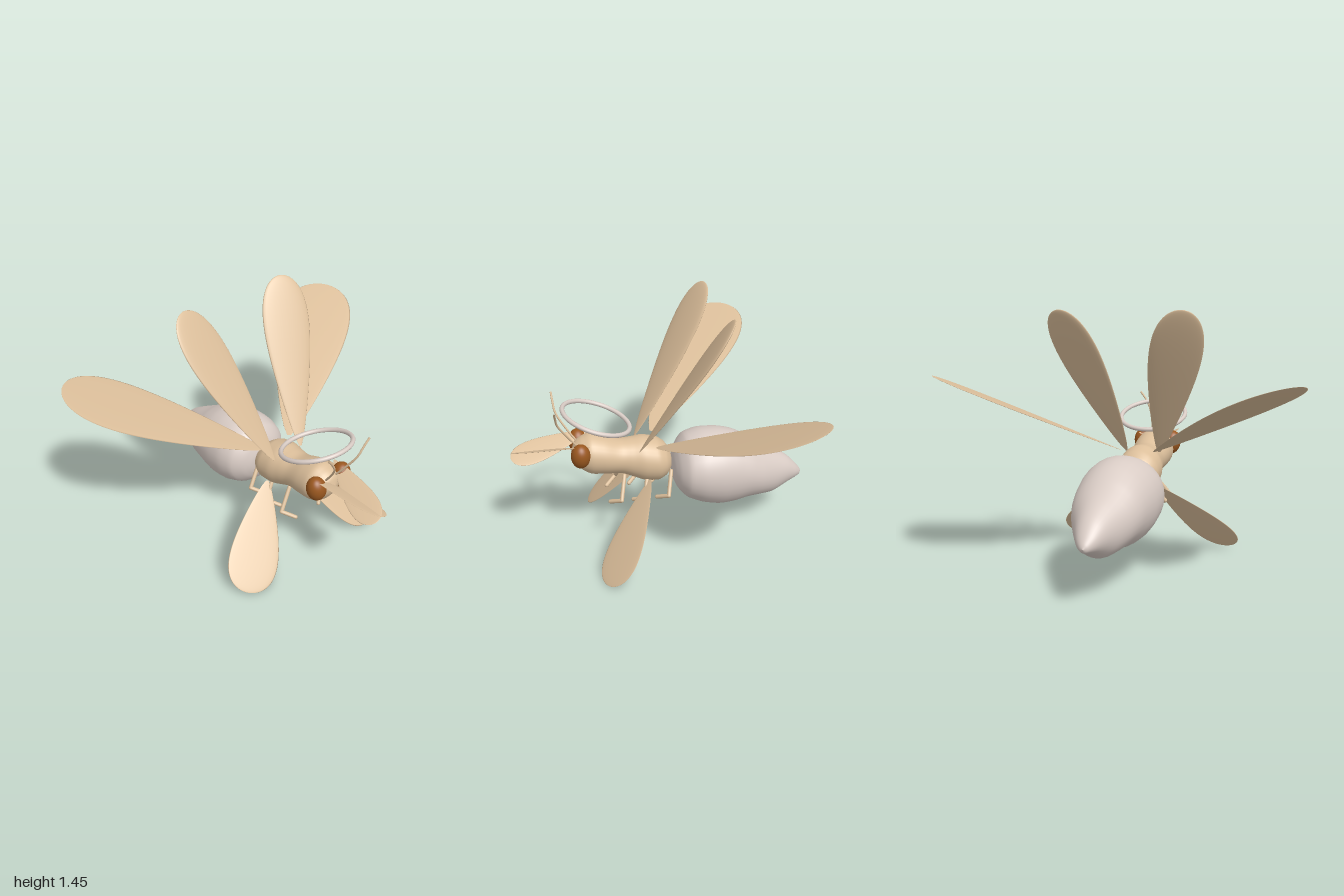
import * as THREE from 'three';

const V = (x, y, z) => new THREE.Vector3(x, y, z);

const mat = (name, color, side = THREE.FrontSide) => {
  const m = new THREE.MeshStandardMaterial({ color, side });
  m.name = name;
  return m;
};

// Skin over elliptical rings {c, u, v}; u x v points along the path
function loft(rings, n = 32) {
  const pos = [], idx = [];
  rings.forEach(({ c, u, v }, i) => {
    for (let k = 0; k < n; k++) {
      const a = (k / n) * Math.PI * 2;
      const p = c.clone().addScaledVector(u, Math.cos(a)).addScaledVector(v, Math.sin(a));
      pos.push(p.x, p.y, p.z);
      if (i === rings.length - 1) continue;
      const p0 = i * n + k, p1 = i * n + (k + 1) % n;
      idx.push(p0, p1, p0 + n, p1, p1 + n, p0 + n);
    }
  });
  const g = new THREE.BufferGeometry();
  g.setAttribute('position', new THREE.Float32BufferAttribute(pos, 3));
  g.setIndex(idx);
  g.computeVertexNormals();
  return g;
}

// Rounded body from stations [z, top y, bottom y, half width], front to back
function bodyGeometry(stations) {
  const centre = new THREE.CatmullRomCurve3(stations.map(([z, t, b]) => V(0, (t + b) / 2, z)));
  const size = new THREE.CatmullRomCurve3(stations.map(([, t, b, w]) => V(w, (t - b) / 2, 0)));
  const rings = [];
  for (let i = 0; i <= 60; i++) {
    const s = size.getPoint(i / 60);
    rings.push({ c: centre.getPoint(i / 60), u: V(Math.max(s.x, 0), 0, 0), v: V(0, -Math.max(s.y, 0), 0) });
  }
  return loft(rings);
}

// Teardrop blade with a lens section, narrow at the root and round at the tip
function wingGeometry(root, tip, across, half, thick) {
  const d = tip.clone().sub(root).normalize();
  const w = across.clone().addScaledVector(d, -across.dot(d)).normalize();
  const n = d.clone().cross(w);
  const rings = [];
  for (let i = 0; i <= 32; i++) {
    const t = Math.sin((i / 32) * Math.PI / 2);
    const f = 1.53 * Math.pow(t, 0.8) * Math.sqrt(Math.max(0, 1 - t ** 4)) + 0.05 * (1 - t);
    rings.push({
      c: root.clone().lerp(tip, t),
      u: w.clone().multiplyScalar(half * f),
      v: n.clone().multiplyScalar(thick * f),
    });
  }
  return loft(rings, 24);
}

export function createModel() {
  const model = new THREE.Group();
  const tan = mat('tan', 0xdcbf9b, THREE.DoubleSide);
  const pale = mat('pale grey', 0xd9ccc5);
  const brown = mat('eye brown', 0x9a5820);

  const add = (name, geometry, material, parent = model) => {
    const m = new THREE.Mesh(geometry, material);
    m.name = name;
    parent.add(m);
    return m;
  };

  // Head and thorax
  add('headAndThorax', bodyGeometry([
    [0.53, 0.615, 0.615, 0], [0.51, 0.67, 0.56, 0.06], [0.47, 0.7, 0.505, 0.1],
    [0.41, 0.718, 0.475, 0.12], [0.34, 0.7, 0.468, 0.117], [0.25, 0.667, 0.46, 0.106],
    [0.18, 0.668, 0.43, 0.115], [0.11, 0.672, 0.402, 0.13], [0.04, 0.655, 0.395, 0.13],
    [-0.01, 0.62, 0.42, 0.11], [-0.04, 0.575, 0.46, 0.07], [-0.052, 0.52, 0.52, 0],
  ]), tan);

  // Abdomen
  add('abdomen', bodyGeometry([
    [-0.055, 0.45, 0.45, 0], [-0.062, 0.52, 0.38, 0.085], [-0.085, 0.585, 0.325, 0.15],
    [-0.134, 0.648, 0.27, 0.207], [-0.227, 0.677, 0.228, 0.23], [-0.32, 0.676, 0.206, 0.227],
    [-0.41, 0.657, 0.208, 0.214], [-0.505, 0.611, 0.228, 0.195], [-0.574, 0.568, 0.231, 0.172],
    [-0.667, 0.517, 0.233, 0.128], [-0.76, 0.458, 0.277, 0.083], [-0.815, 0.405, 0.302, 0.052],
    [-0.85, 0.362, 0.318, 0.022], [-0.862, 0.338, 0.338, 0],
  ]), pale);

  // Ring above the head
  const ring = add('headRing', new THREE.TorusGeometry(0.197, 0.013, 12, 64), pale);
  ring.position.set(0, 0.818, 0.379);
  ring.rotation.x = Math.PI / 2 - 0.33;

  // Wings: name, root, tip, width direction, half width, half thickness
  const wings = [
    ['upperWing', [0.1, 0.63, 0.15], [0.345, 1.46, -0.305], [-0.95, 0.11, -0.3], 0.14, 0.018],
    ['hindWing', [0.1, 0.65, 0.05], [0.945, 1.115, -0.58], [0.6, 0, 0.8], 0.225, 0.006],
    ['lowerWing', [0.1, 0.44, 0.09], [0.5, 0.025, 0.385], [-0.7, -0.4, 0.55], 0.145, 0.006],
    ['mouthBlade', [0.1, 0.69, 0.42], [-0.04, 0.62, 0.865], [-0.9, -0.42, -0.3], 0.08, 0.004],
  ];

  for (const s of [1, -1]) {
    const side = s > 0 ? 'left' : 'right';
    const P = ([x, y, z]) => V(s * x, y, z);

    for (const [name, root, tip, across, half, thick] of wings)
      add(`${side} ${name}`, wingGeometry(P(root), P(tip), P(across), half, thick), tan);

    // Eye
    const eye = add(`${side} eye`, new THREE.SphereGeometry(1, 32, 24), brown);
    eye.scale.set(0.056, 0.075, 0.055);
    eye.position.set(s * 0.092, 0.632, 0.482);
    eye.rotation.z = s * -0.2;

    // Antenna
    const feeler = new THREE.CatmullRomCurve3([
      [0.035, 0.66, 0.49], [0.05, 0.73, 0.54], [0.085, 0.83, 0.6], [0.115, 0.885, 0.61], [0.15, 0.93, 0.615],
    ].map(P));
    add(`${side} antenna`, new THREE.TubeGeometry(feeler, 24, 0.006, 8), tan);

    // Three bent legs
    [0.235, 0.1, -0.04].forEach((z, i) => {
      const leg = new THREE.Group();
      leg.name = `${side} leg ${i + 1}`;
      const joints = [[0.06, 0.46, z], [0.145, 0.345, z + 0.03], [0.09, 0.312, z + 0.09]].map(P);
      ['thigh', 'shin'].forEach((name, j) => {
        const a = joints[j], b = joints[j + 1];
        const bone = add(name, new THREE.CapsuleGeometry(0.012, a.distanceTo(b), 4, 10), tan, leg);
        bone.position.copy(a).lerp(b, 0.5);
        bone.quaternion.setFromUnitVectors(V(0, 1, 0), b.clone().sub(a).normalize());
      });
      model.add(leg);
    });
  }
  return model;
}
